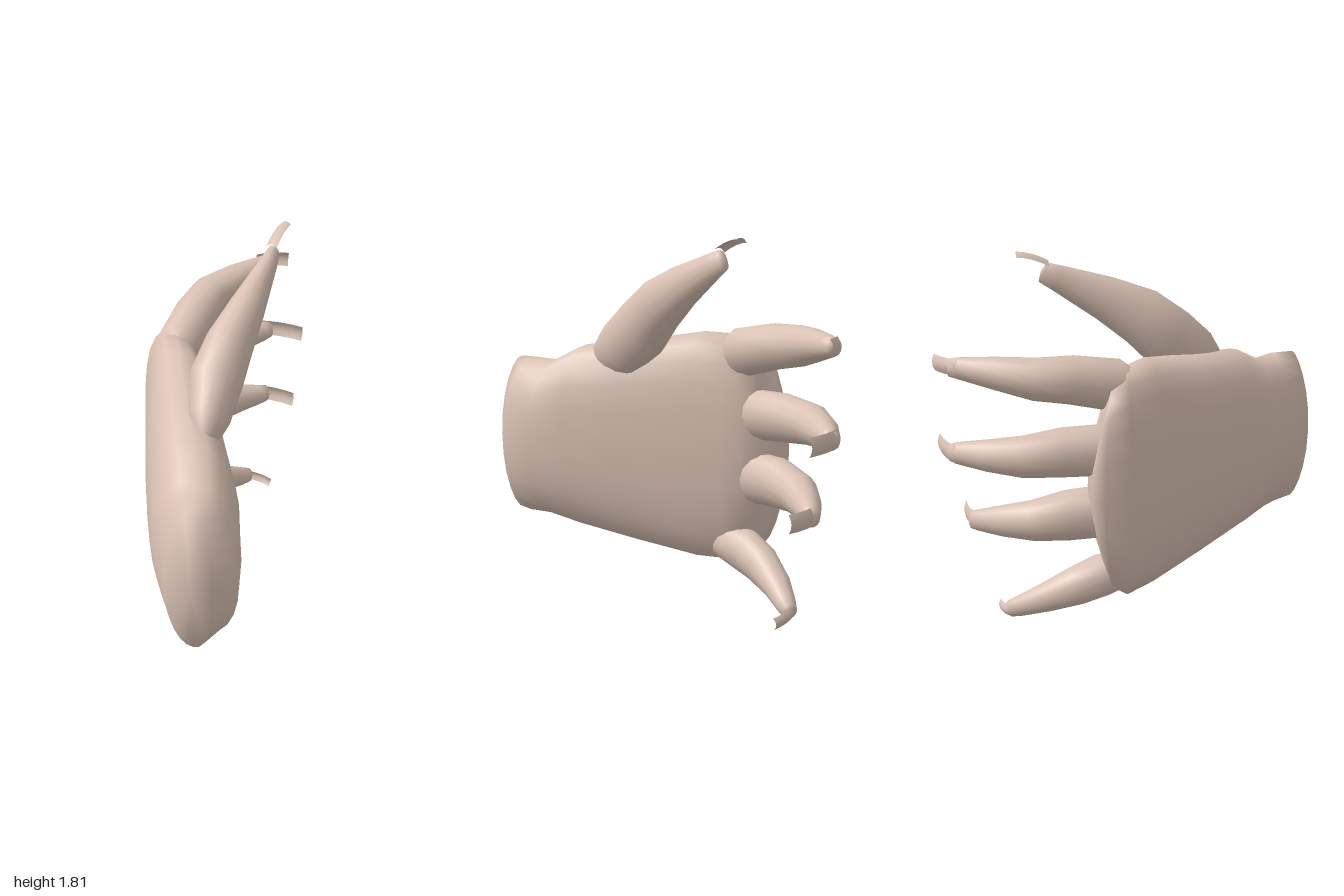
import * as THREE from 'three';

const skin = new THREE.MeshStandardMaterial({ color: 0xd9c1b3, side: THREE.DoubleSide });
skin.name = 'skin';
const V = (x, y, z) => new THREE.Vector3(x, y, z);

// Smooth closed skin over a list of equal-length rings, ordered root to tip
function loft(name, rings, startCap, endCap) {
  const n = rings[0].length, pts = rings.flat(), idx = [];
  for (let i = 0; i < rings.length - 1; i++) {
    for (let j = 0; j < n; j++) {
      const a = i * n + j, b = i * n + (j + 1) % n;
      idx.push(a, a + n, b, b, a + n, b + n);
    }
  }
  const s = pts.length, last = (rings.length - 1) * n;
  pts.push(startCap, endCap);
  for (let j = 0; j < n; j++) {
    const k = (j + 1) % n;
    idx.push(s, j, k, s + 1, last + k, last + j);
  }
  return surface(name, pts, idx);
}

function surface(name, pts, idx) {
  const g = new THREE.BufferGeometry().setFromPoints(pts);
  g.setIndex(idx);
  g.computeVertexNormals();
  const mesh = new THREE.Mesh(g, skin);
  mesh.name = name;
  return mesh;
}

// Palm and wrist: slanted sections, oval at the wrist and boxier towards the knuckles
function palm() {
  // back-of-hand x, z; palm-side x, z; bottom, top; bow of the section along z; roundness
  const sections = [
    [0.15, 0.94, 0.37, 0.92, 0.365, 1.18, 0.05, 0.95],
    [0.03, 0.81, 0.455, 0.83, 0.36, 1.18, 0.02, 0.95],
    [-0.03, 0.73, 0.41, 0.70, 0.355, 1.17, 0, 0.88],
    [-0.10, 0.60, 0.34, 0.53, 0.315, 1.255, 0, 0.82],
    [-0.24, 0.30, 0.19, 0.28, 0.25, 1.29, 0, 0.8],
    [-0.36, 0.02, 0.01, -0.02, 0.185, 1.34, 0, 0.8],
    [-0.44, -0.15, -0.10, -0.16, 0.175, 1.33, -0.02, 0.82],
    [-0.46, -0.25, -0.15, -0.21, 0.24, 1.26, -0.05, 0.82],
    [-0.42, -0.28, -0.22, -0.25, 0.36, 1.13, -0.07, 0.82],
  ];
  const rings = sections.map(([xl, zl, xr, zr, y0, y1, bow, round]) =>
    Array.from({ length: 24 }, (_, j) => {
      const power = (v) => Math.sign(v) * Math.abs(v) ** round;
      const a = j / 24 * Math.PI * 2, u = power(Math.cos(a)), v = power(Math.sin(a));
      const k = (u + 1) / 2;
      return V(xl + (xr - xl) * k, (y0 + y1) / 2 + v * (y1 - y0) / 2,
        zl + (zr - zl) * k + bow * (1 - v * v));
    }));
  return loft('palm', rings, V(0.28, 0.77, 1.0), V(-0.34, 0.75, -0.35));
}

// Finger: oval sections [x, y, z, half height, half thickness] along a bent path
function finger(name, path) {
  const p = path.map((s) => V(s[0], s[1], s[2]));
  const end = p.length - 1;
  const tangent = (i) => p[Math.min(i + 1, end)].clone().sub(p[Math.max(i - 1, 0)]).normalize();
  const rings = path.map((s, i) => {
    const t = tangent(i);
    const side = t.clone().cross(V(0, 1, 0)).normalize();
    const up = side.clone().cross(t);
    return Array.from({ length: 14 }, (_, j) => {
      const a = j / 14 * Math.PI * 2;
      return p[i].clone().addScaledVector(side, Math.cos(a) * s[4])
        .addScaledVector(up, Math.sin(a) * s[3]);
    });
  });
  return loft(name, rings, p[0].clone().addScaledVector(tangent(0), -0.02),
    p[end].clone().addScaledVector(tangent(end), 0.012));
}

// Nail: thin plate arched across its width and curled along its length
function nail(name, from, to, normal, half) {
  const a = V(...from), b = V(...to), n = V(...normal).normalize();
  const side = b.clone().sub(a).cross(n).normalize();
  const pts = [], idx = [], cols = 5, rows = 5;
  for (let i = 0; i < rows; i++) {
    for (let j = 0; j < cols; j++) {
      const v = i / (rows - 1), u = j / (cols - 1) * 2 - 1;
      pts.push(a.clone().lerp(b, v).addScaledVector(side, u * half)
        .addScaledVector(n, 0.015 * (1 - u * u) + 0.05 * v * (1 - v)));
      if (i && j) {
        const k = i * cols + j;
        idx.push(k, k - 1, k - cols, k - 1, k - cols - 1, k - cols);
      }
    }
  }
  return surface(name, pts, idx);
}

export function createModel() {
  const hand = new THREE.Group();
  hand.name = 'hand';
  hand.add(palm());

  const digits = {
    thumb: {
      path: [[0.135, 1.185, 0.43, 0.09, 0.05], [0.11, 1.24, 0.33, 0.145, 0.1],
        [0.09, 1.36, 0.18, 0.16, 0.125], [0.103, 1.47, 0.05, 0.145, 0.11],
        [0.125, 1.57, -0.13, 0.11, 0.083], [0.145, 1.68, -0.36, 0.065, 0.042],
        [0.15, 1.712, -0.43, 0.052, 0.027]],
      nail: [[0.145, 1.752, -0.40], [0.163, 1.8, -0.555], [-0.2, 1, -0.3], 0.03],
    },
    indexFinger: {
      path: [[-0.24, 1.22, -0.08, 0.07, 0.06], [-0.245, 1.24, -0.18, 0.125, 0.11],
        [-0.245, 1.285, -0.40, 0.115, 0.108], [-0.235, 1.3, -0.57, 0.1, 0.102],
        [-0.15, 1.32, -0.74, 0.077, 0.078], [-0.07, 1.332, -0.88, 0.054, 0.05],
        [-0.045, 1.335, -0.93, 0.044, 0.038]],
      nail: [[-0.1, 1.345, -0.90], [0.05, 1.34, -0.985], [-0.45, 0, -0.9], 0.04],
    },
    middleFinger: {
      path: [[-0.29, 0.93, -0.16, 0.09, 0.08], [-0.275, 0.935, -0.25, 0.125, 0.11],
        [-0.265, 0.94, -0.45, 0.12, 0.105], [-0.245, 0.93, -0.64, 0.1, 0.102],
        [-0.15, 0.92, -0.79, 0.077, 0.077], [-0.06, 0.912, -0.9, 0.056, 0.052],
        [-0.03, 0.91, -0.935, 0.045, 0.04]],
      nail: [[-0.09, 0.915, -0.925], [0.15, 0.905, -0.96], [-0.1, 0, -1], 0.045],
    },
    ringFinger: {
      path: [[-0.28, 0.62, -0.15, 0.09, 0.08], [-0.265, 0.62, -0.24, 0.13, 0.11],
        [-0.255, 0.615, -0.43, 0.125, 0.105], [-0.215, 0.59, -0.59, 0.1, 0.098],
        [-0.12, 0.567, -0.72, 0.077, 0.073], [-0.04, 0.55, -0.81, 0.056, 0.05],
        [-0.01, 0.545, -0.845, 0.046, 0.04]],
      nail: [[-0.06, 0.55, -0.83], [0.15, 0.54, -0.845], [-0.1, 0, -1], 0.045],
    },
    littleFinger: {
      path: [[-0.19, 0.27, -0.04, 0.05, 0.05], [-0.2, 0.275, -0.13, 0.09, 0.085],
        [-0.205, 0.255, -0.25, 0.11, 0.098], [-0.19, 0.205, -0.38, 0.098, 0.09],
        [-0.14, 0.14, -0.52, 0.073, 0.072], [-0.075, 0.08, -0.64, 0.052, 0.05],
        [-0.05, 0.06, -0.685, 0.042, 0.037]],
      nail: [[-0.07, 0.06, -0.685], [0.08, 0.029, -0.7], [-0.1, 0, -1], 0.029],
    },
  };
  for (const [name, d] of Object.entries(digits)) {
    hand.add(finger(name, d.path), nail(name + 'Nail', ...d.nail));
  }
  return hand;
}
